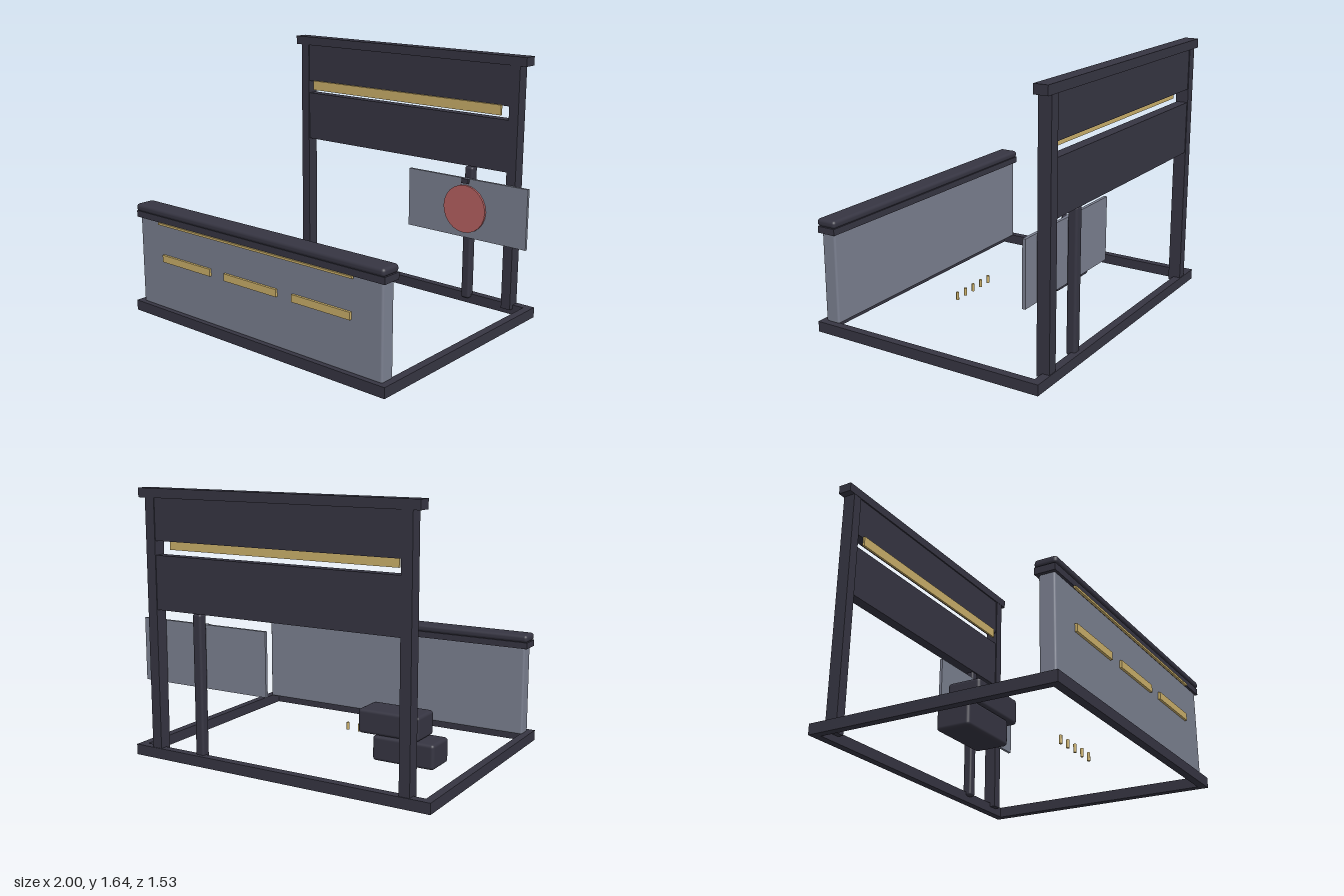
import * as THREE from 'three';
import { RoundedBoxGeometry } from 'three/addons/geometries/RoundedBoxGeometry.js';

const mat = (name, color) => {
  const m = new THREE.MeshStandardMaterial({ color });
  m.name = name;
  return m;
};

export function createModel() {
  const group = new THREE.Group();
  const dark = mat('dark wood', 0x363542);
  const grey = mat('slate grey', 0x7b8090);
  const gold = mat('gold', 0xcbb06a);
  const red = mat('dusty red', 0xb86262);

  const add = (name, geometry, material, x, y, z) => {
    const mesh = new THREE.Mesh(geometry, material);
    mesh.name = name;
    mesh.position.set(x, y, z);
    group.add(mesh);
    return mesh;
  };
  // Box given by its extents; a radius rounds its edges
  const box = (name, material, [x0, x1], [y0, y1], [z0, z1], r = 0) => {
    const s = [x1 - x0, y1 - y0, z1 - z0];
    const geometry = r ? new RoundedBoxGeometry(...s, 3, r) : new THREE.BoxGeometry(...s);
    return add(name, geometry, material, (x0 + x1) / 2, (y0 + y1) / 2, (z0 + z1) / 2);
  };

  // Open rectangular floor frame
  box('frameFront', dark, [-1, 1], [0, 0.065], [0.715, 0.765]);
  box('frameBack', dark, [-1, 1], [0, 0.065], [-0.765, -0.715]);
  for (const s of [-1, 1]) {
    box('frameSide', dark, [s * 0.975 - 0.025, s * 0.975 + 0.025], [0, 0.065], [-0.715, 0.715]);
  }

  // Counter
  box('counterPanel', grey, [-0.96, 0.96], [0.06, 0.625], [0.64, 0.735], 0.012);
  box('counterMoulding', dark, [-0.98, 0.98], [0.62, 0.66], [0.626, 0.748]);
  box('counterTop', dark, [-0.98, 0.98], [0.658, 0.706], [0.622, 0.756], 0.02);
  box('counterTrim', gold, [-0.77, 0.77], [0.608, 0.621], [0.744, 0.758]);
  for (const x of [-0.54, 0, 0.54]) {
    box('counterInlay', gold, [x - 0.21, x + 0.21], [0.37, 0.415], [0.733, 0.75]);
  }

  // Back wall on two posts
  for (const s of [-1, 1]) {
    box('wallPost', dark, [s * 0.8425 - 0.0325, s * 0.8425 + 0.0325], [0.04, 1.58], [-0.76, -0.68]);
  }
  box('topRail', dark, [-0.92, 0.92], [1.58, 1.636], [-0.765, -0.678]);
  box('upperWallPanel', dark, [-0.81, 0.81], [1.33, 1.58], [-0.755, -0.687]);
  box('lowerWallPanel', dark, [-0.81, 0.81], [0.92, 1.245], [-0.755, -0.687]);
  box('wallTrim', gold, [-0.76, 0.76], [1.272, 1.335], [-0.684, -0.67]);

  // Sign board with its stand, disc and clip
  box('signStand', dark, [0.505, 0.565], [0.04, 0.916], [-0.74, -0.68], 0.015);
  box('signBoard', grey, [0.095, 0.98], [0.46, 0.845], [-0.674, -0.655]);
  const disc = add('signDisc', new THREE.CylinderGeometry(0.155, 0.155, 0.014, 24), red, 0.535, 0.648, -0.648);
  disc.rotation.x = Math.PI / 2;
  box('signClip', dark, [0.51, 0.56], [0.815, 0.845], [-0.656, -0.64]);

  // Stacked crates
  box('lowerCrate', dark, [-0.71, -0.3], [0, 0.156], [-0.13, 0.078], 0.02);
  box('upperCrate', dark, [-0.61, -0.2], [0.158, 0.31], [-0.13, 0.078], 0.02);

  // Row of small floor pegs
  for (let i = 0; i < 5; i++) {
    add('floorPeg', new THREE.CylinderGeometry(0.01, 0.01, 0.05, 8), gold, -0.197 + i * 0.087, 0.025, 0.355);
  }
  return group;
}
